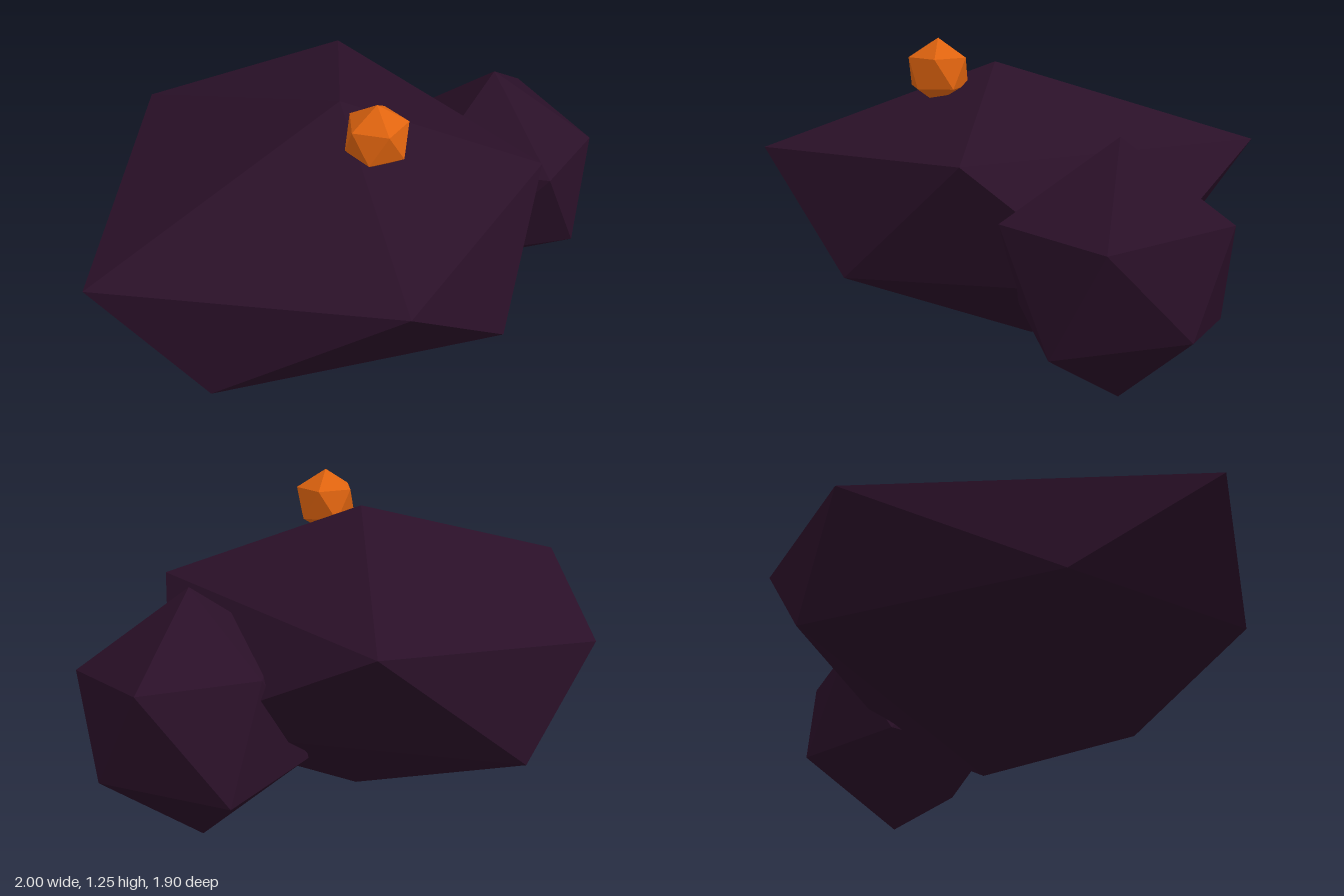
import * as THREE from 'three';

// Twenty-sided stone from two poles and two staggered five-point rings.
// Rings run from +x toward +z; lower[i] sits between upper[i] and upper[i + 1].
function stone(name, material, top, upper, lower, bottom) {
  const points = [];
  for (let i = 0; i < 5; i++) {
    const j = (i + 1) % 5;
    points.push(
      top, upper[j], upper[i],
      upper[i], upper[j], lower[i],
      lower[i], upper[j], lower[j],
      bottom, lower[i], lower[j]
    );
  }
  const geometry = new THREE.BufferGeometry();
  geometry.setAttribute('position', new THREE.Float32BufferAttribute(points.flat(), 3));
  geometry.computeVertexNormals();
  const mesh = new THREE.Mesh(geometry, material);
  mesh.name = name;
  return mesh;
}

// Evenly spaced ring of five points
function ring(x, y, z, radius, start) {
  return Array.from({ length: 5 }, (_, i) => {
    const a = start + (i * Math.PI * 2) / 5;
    return [x + radius * Math.cos(a), y, z + radius * Math.sin(a)];
  });
}

export function createModel() {
  const rock = new THREE.MeshStandardMaterial({ color: 0x2a1028, flatShading: true });
  rock.name = 'dark purple rock';
  const ember = new THREE.MeshStandardMaterial({ color: 0xe0640f, flatShading: true });
  ember.name = 'orange ember';

  const model = new THREE.Group();
  model.name = 'rockWithEmber';

  // Broad irregular boulder
  model.add(stone('largeBoulder', rock,
    [-0.08, 1.14, 0.06],
    [[0.69, 0.87, 0.12], [0.11, 0.82, 0.95], [-1, 0.79, 0.69], [-0.85, 0.79, -0.63], [-0.04, 0.85, -0.95]],
    [[0.5, 0.41, 0.57], [-0.58, 0.41, 0.82], [-0.97, 0.43, 0.15], [-0.59, 0.38, -0.76], [0.665, 0.42, -0.44]],
    [-0.05, 0.03, -0.09]));

  // Smaller boulder leaning into its back corner
  model.add(stone('smallBoulder', rock,
    [0.58, 0.965, -0.43],
    [[1, 0.65, -0.39], [0.76, 0.69, -0.02], [0.28, 0.68, -0.16], [0.33, 0.69, -0.67], [0.76, 0.7, -0.82]],
    [[0.92, 0.26, -0.2], [0.43, 0.3, -0.07], [0.16, 0.3, -0.45], [0.45, 0.27, -0.81], [0.91, 0.33, -0.68]],
    [0.56, 0, -0.44]));

  // Regular ember resting on top
  const [x, y, z, r] = [0.043, 1.115, 0.27, 0.13];
  const h = r / Math.sqrt(5);
  model.add(stone('ember', ember,
    [x, y + r, z],
    ring(x, y + h, z, 2 * h, 0),
    ring(x, y - h, z, 2 * h, Math.PI / 5),
    [x, y - r, z]));

  return model;
}
